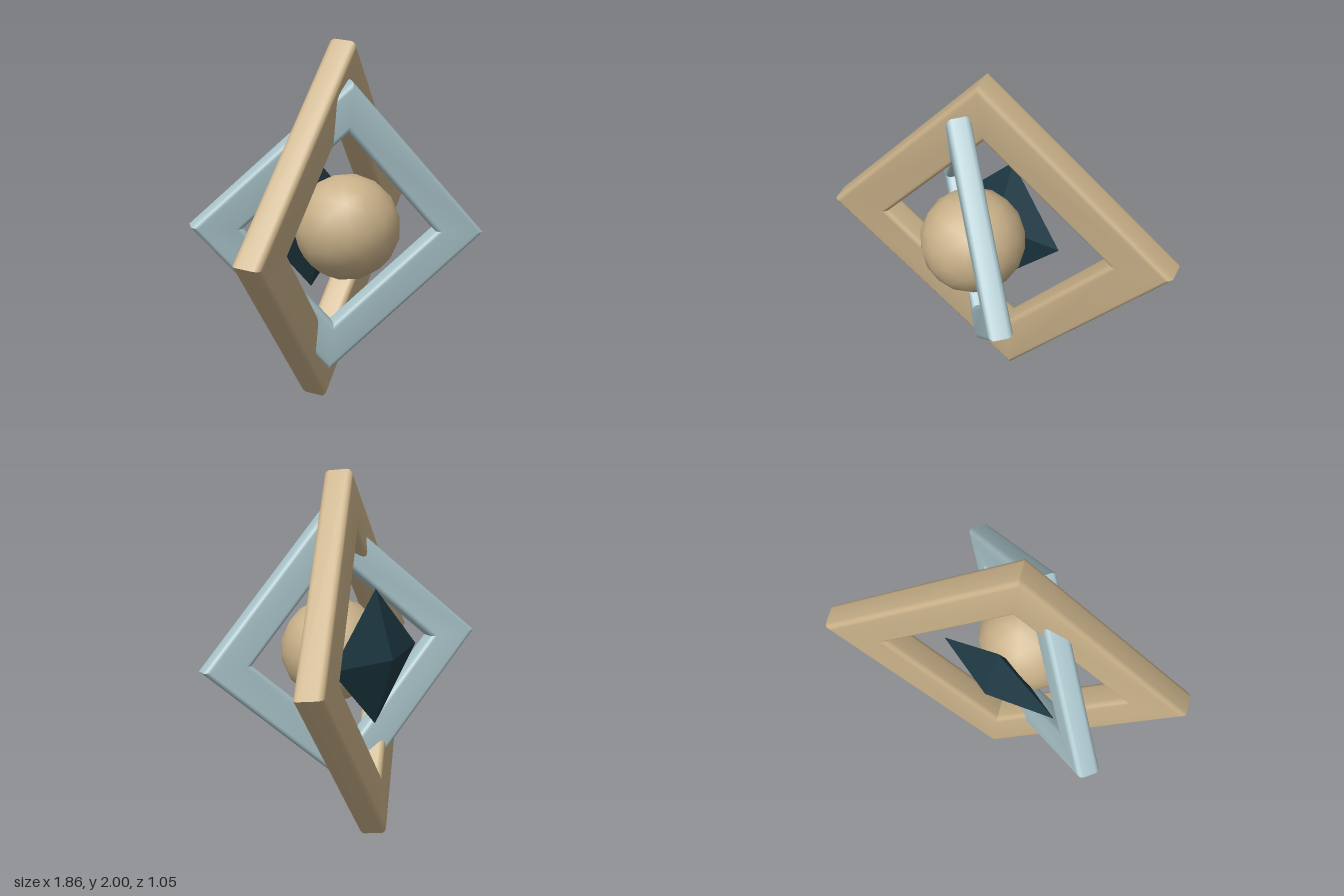
import * as THREE from 'three';
import { toCreasedNormals } from 'three/addons/utils/BufferGeometryUtils.js';

const tan = new THREE.MeshStandardMaterial({ color: 0xc9b189 });
tan.name = 'tan';
const paleBlue = new THREE.MeshStandardMaterial({ color: 0xa9c4ca });
paleBlue.name = 'paleBlue';
const darkTeal = new THREE.MeshStandardMaterial({ color: 0x1f3a45 });
darkTeal.name = 'darkTeal';

// Diamond outline with its corners on the axes
function diamond(Type, r) {
  return new Type([[r, 0], [0, r], [-r, 0], [0, -r]].map(([x, y]) => new THREE.Vector2(x, y)));
}

// Square frame with rounded edges, tilted so its diagonals run along u and v
function makeFrame(name, material, { outer, inner, thickness, bevel, center, u, v }) {
  const shape = diamond(THREE.Shape, outer);
  shape.holes.push(diamond(THREE.Path, inner));
  const depth = thickness - 2 * bevel;
  const geometry = new THREE.ExtrudeGeometry(shape, {
    depth,
    bevelEnabled: true,
    bevelSize: bevel,
    bevelThickness: bevel,
    bevelOffset: -bevel,
    bevelSegments: 4,
  });
  geometry.translate(0, 0, -depth / 2);

  const across = new THREE.Vector3(...u).normalize();
  const normal = across.clone().cross(new THREE.Vector3(...v)).normalize();
  const up = normal.clone().cross(across);
  const mesh = new THREE.Mesh(toCreasedNormals(geometry, 0.6), material);
  mesh.name = name;
  mesh.quaternion.setFromRotationMatrix(new THREE.Matrix4().makeBasis(across, up, normal));
  mesh.position.set(...center);
  return mesh;
}

export function createModel() {
  const model = new THREE.Group();
  model.name = 'interlockedFrames';

  // Two interlocking frames
  model.add(makeFrame('largeFrame', tan, {
    outer: 1.0, inner: 0.66, thickness: 0.155, bevel: 0.03,
    center: [0, 1.0, -0.05], u: [0.908, 0.048, -0.411], v: [0, 0.993, 0.12],
  }));
  model.add(makeFrame('smallFrame', paleBlue, {
    outer: 0.793, inner: 0.525, thickness: 0.125, bevel: 0.028,
    center: [-0.05, 1.005, 0.095], u: [0.866, -0.057, 0.497], v: [0, 0.993, 0.115],
  }));

  // Ball in the middle
  const ball = new THREE.Mesh(new THREE.IcosahedronGeometry(0.285, 2), tan);
  ball.name = 'ball';
  ball.position.set(-0.02, 1.01, 0.125);
  model.add(ball);

  // Flattened gem behind the ball
  const gem = new THREE.Mesh(new THREE.OctahedronGeometry(1, 0), darkTeal);
  gem.name = 'gem';
  gem.scale.set(0.373, 0.373, 0.116);
  gem.position.set(-0.025, 1.01, -0.16);
  model.add(gem);

  return model;
}
